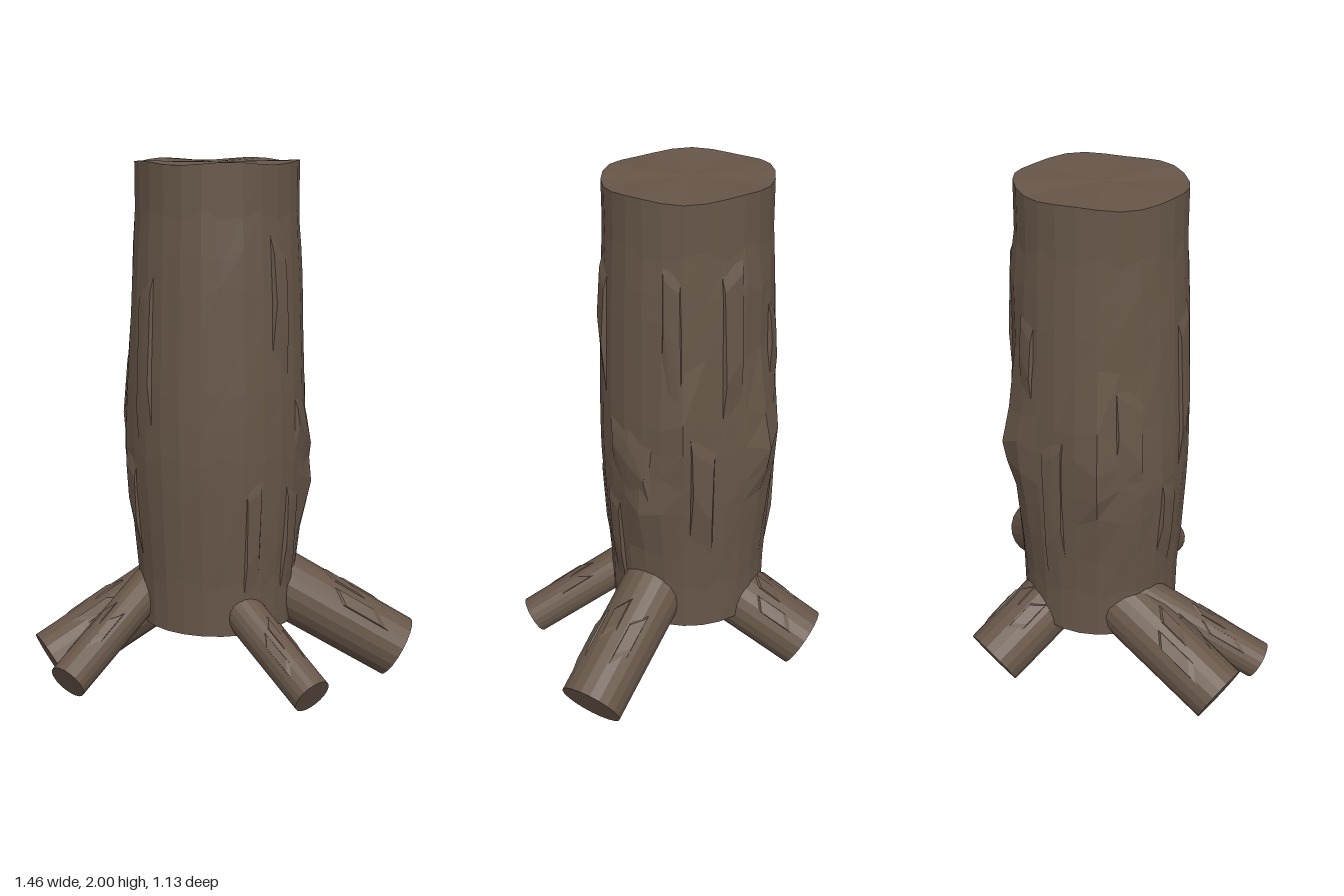
import * as THREE from 'three';
import { ConvexGeometry } from 'three/addons/geometries/ConvexGeometry.js';

const CX = -0.04; // trunk axis offset
const SIDES = 26;
const DEG = Math.PI / 180;

// Trunk outline: [height, radius]
const PROFILE = [[0.25, 0.303], [0.44, 0.306], [0.6, 0.318], [0.8, 0.33], [0.92, 0.334], [1.04, 0.334],
  [1.17, 0.332], [1.4, 0.324], [1.54, 0.32], [1.66, 0.314], [1.8, 0.305], [1.98, 0.305]];

// Swellings: [angle, height, amount, angular width, height width]
const BUMPS = [[-150, 1.0, 0.055, 11, 0.24], [-87, 1.02, 0.06, 13, 0.17], [-24, 1.12, 0.035, 10, 0.2],
  [-4, 0.8, 0.035, 14, 0.13], [176, 0.95, 0.022, 20, 0.3], [-75, 1.64, 0.014, 14, 0.1]];

// Bark plates: [angle, angular width, bottom, top, depth, skew]
const PLATES = [[10, 38, 0.76, 1.17, 0.012, 0.1], [28, 15, 0.3, 0.84, 0.01, 0.06],
  [42, 14, 1.15, 1.75, 0.016, 0.1], [62, 12, 0.4, 0.85, 0.006, -0.06], [140, 16, 0.95, 1.55, 0.012, -0.1],
  [158, 15, 0.45, 0.95, 0.012, 0.08], [-172, 20, 0.8, 1.4, 0.008, 0.12],
  [-122, 18, 0.5, 1.1, 0.012, -0.1], [-100, 14, 1.15, 1.6, 0.012, 0.08], [-60, 16, 1.2, 1.75, 0.014, -0.1],
  [-40, 17, 0.5, 1.15, 0.015, 0.12], [-20, 13, 1.25, 1.8, 0.008, 0.08]];

// Roots: [name, start, end centre, radius]
const ROOTS = [
  ['leftRoot', [0.07, 0.45, 0.008], [0.665, 0.112, 0.008], 0.123],
  ['backRoot', [-0.01, 0.37, -0.06], [-0.105, 0.112, -0.5], 0.12],
  ['rightRoot', [-0.15, 0.4, -0.065], [-0.665, 0.105, 0.205], 0.117],
  ['frontRightRoot', [-0.265, 0.4, 0.02], [-0.565, 0.115, 0.435], 0.074],
  ['frontLeftRoot', [0.0, 0.385, 0.16], [0.33, 0.115, 0.515], 0.074],
];

function angleGap(a, b) {
  return Math.abs(((a - b + 540) % 360 + 360) % 360 - 180);
}

function radiusAt(deg, y) {
  let k = 0;
  while (k < PROFILE.length - 2 && y > PROFILE[k + 1][0]) k++;
  const [y0, r0] = PROFILE[k], [y1, r1] = PROFILE[k + 1];
  let r = r0 + (r1 - r0) * (y - y0) / (y1 - y0);
  for (const [a, h, amount, wa, wy] of BUMPS) {
    r += amount * Math.exp(-((angleGap(deg, a) / wa) ** 2) - ((y - h) / wy) ** 2);
  }
  return r;
}

function barkPoint(deg, y, offset) {
  const r = radiusAt(deg, y) + offset;
  return new THREE.Vector3(CX + r * Math.cos(deg * DEG), y, r * Math.sin(deg * DEG));
}

function faceted(geometry) {
  const g = geometry.index ? geometry.toNonIndexed() : geometry;
  g.computeVertexNormals();
  return g;
}

// Stacked rings with a wavy sawn rim and closed ends
function trunkGeometry() {
  const pos = [], idx = [], n = PROFILE.length;
  PROFILE.forEach(([y], j) => {
    for (let i = 0; i < SIDES; i++) {
      const deg = i * 360 / SIDES;
      const p = barkPoint(deg, y, 0);
      if (j === n - 1) p.y = 1.986 - 0.007 * Math.sin(deg * DEG) + 0.006 * Math.sin(5 * deg * DEG + 1);
      else if (j > 0) p.y += 0.025 * Math.sin(i * 2.3 + j * 1.7);
      pos.push(p.x, p.y, p.z);
    }
  });
  const bottom = n * SIDES, top = bottom + 1;
  pos.push(CX, 0.25, 0, CX, 1.984, 0);
  for (let i = 0; i < SIDES; i++) {
    const k = (i + 1) % SIDES, last = (n - 1) * SIDES;
    for (let j = 0; j < n - 1; j++) {
      const a = j * SIDES + i, b = j * SIDES + k;
      idx.push(a, a + SIDES, b, b, a + SIDES, b + SIDES);
    }
    idx.push(bottom, i, k, top, last + k, last + i);
  }
  const g = new THREE.BufferGeometry();
  g.setAttribute('position', new THREE.Float32BufferAttribute(pos, 3));
  g.setIndex(idx);
  return faceted(g);
}

// Slanted sliver of bark, flush at its ends and raised along the middle
function plateGeometry([deg, width, y0, y1, depth, skew]) {
  const pts = [];
  for (const u of [-0.5, 0, 0.5]) {
    const low = y0 + skew * (u + 0.5), high = y1 + skew * (u - 0.5) * 0.6;
    const a = deg + u * width;
    pts.push(barkPoint(a, low, -0.008), barkPoint(a, high, -0.008));
    pts.push(barkPoint(deg + u * width * 0.7, low + (y1 - y0) * 0.4, depth));
    pts.push(barkPoint(deg + u * width * 0.8, high - 0.08, depth * 0.6));
  }
  return faceted(new ConvexGeometry(pts));
}

// Cylinder along a root, with bark ridges on its upper side
function buildRoot([name, start, end, radius], material) {
  const from = new THREE.Vector3(...start);
  const dir = new THREE.Vector3(...end).sub(from), length = dir.length();
  dir.normalize();
  const side = new THREE.Vector3().crossVectors(dir, new THREE.Vector3(0, 1, 0)).normalize();
  const up = new THREE.Vector3().crossVectors(side, dir);
  const root = new THREE.Group();
  root.name = name;
  root.position.copy(from);
  root.quaternion.setFromRotationMatrix(new THREE.Matrix4().makeBasis(side, dir, up));

  // local +y runs outward, local +z faces upward
  const log = new THREE.CylinderGeometry(radius, radius * 1.04, length, 20);
  log.translate(0, length / 2, 0);
  const logMesh = new THREE.Mesh(faceted(log), material);
  logMesh.name = name + 'Log';
  root.add(logMesh);

  for (const [a, s, e] of [[-32, 0.45, 0.82], [8, 0.4, 0.72], [45, 0.5, 0.9]]) {
    const pts = [];
    for (const u of [-13, 13]) {
      for (const [t, lift] of [[s, 0.9], [s + 0.06, 1.07], [e - 0.12, 1.05], [e, 0.95]]) {
        const q = (a + u * (lift > 1 ? 0.8 : 1)) * DEG;
        pts.push(new THREE.Vector3(Math.sin(q) * radius * lift, (t + u * 0.003) * length, Math.cos(q) * radius * lift));
      }
    }
    const ridge = new THREE.Mesh(faceted(new ConvexGeometry(pts)), material);
    ridge.name = name + 'Ridge';
    root.add(ridge);
  }
  return root;
}

export function createModel() {
  const model = new THREE.Group();
  model.name = 'treeStump';
  const bark = new THREE.MeshStandardMaterial({ color: 0x675648 });
  bark.name = 'barkBrown';

  const trunk = new THREE.Mesh(trunkGeometry(), bark);
  trunk.name = 'trunk';
  model.add(trunk);

  for (const plate of PLATES) {
    const mesh = new THREE.Mesh(plateGeometry(plate), bark);
    mesh.name = 'barkPlate';
    model.add(mesh);
  }
  for (const root of ROOTS) model.add(buildRoot(root, bark));
  return model;
}
